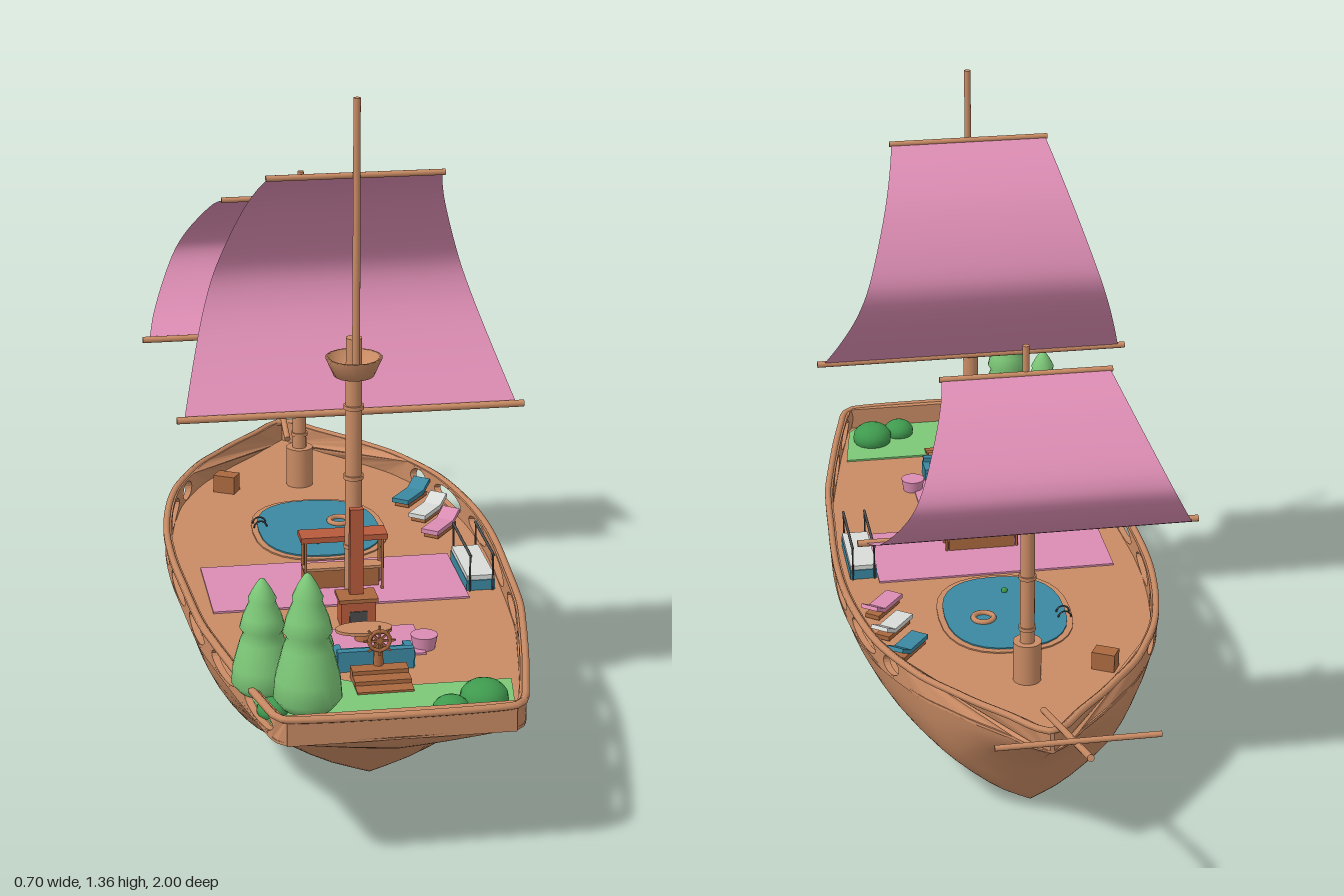
import * as THREE from 'three';

const mat = (name, color, side = THREE.FrontSide) => {
  const m = new THREE.MeshStandardMaterial({ color, side });
  m.name = name;
  return m;
};

export function createModel() {
  const wood = mat('wood', 0xc98b64, THREE.DoubleSide);
  const darkWood = mat('dark wood', 0xa9683f);
  const pink = mat('pink cloth', 0xdb8cb2, THREE.DoubleSide);
  const teal = mat('teal', 0x3b88a0);
  const leaf = mat('leaf green', 0x7cc777);
  const bush = mat('bush green', 0x3f9a4e);
  const white = mat('white', 0xd9dbd8);
  const red = mat('brick red', 0xb85a3c);
  const metal = mat('dark metal', 0x4a4a4a);

  const ship = new THREE.Group();
  ship.name = 'ship';
  const DECK = 0.278, TOP = 0.33, UP = new THREE.Vector3(0, 1, 0);

  const add = (name, geo, m, x = 0, y = 0, z = 0, parent = ship) => {
    const mesh = new THREE.Mesh(geo, m);
    mesh.name = name;
    mesh.position.set(x, y, z);
    parent.add(mesh);
    return mesh;
  };
  const box = (name, m, w, h, d, x, y, z, parent) => add(name, new THREE.BoxGeometry(w, h, d), m, x, y, z, parent);
  const cyl = (name, m, rt, rb, y0, y1, x, z, n = 16) =>
    add(name, new THREE.CylinderGeometry(rt, rb, y1 - y0, n), m, x, (y0 + y1) / 2, z);
  const rod = (name, m, r, a, b) => {
    const p = new THREE.Vector3(...a), q = new THREE.Vector3(...b);
    const mesh = add(name, new THREE.CylinderGeometry(r, r, p.distanceTo(q), 10), m);
    mesh.position.copy(p).lerp(q, 0.5);
    mesh.quaternion.setFromUnitVectors(UP, q.sub(p).normalize());
    return mesh;
  };
  // Thin plate on the deck from [x, z] corners
  const plate = (name, m, pts, y, h = 0.004) => {
    const shape = new THREE.Shape(pts.map(([x, z]) => new THREE.Vector2(x, -z)));
    const geo = new THREE.ExtrudeGeometry(shape, { depth: h, bevelEnabled: false });
    return add(name, geo.rotateX(-Math.PI / 2), m, 0, y, 0);
  };
  const oval = (cx, cz, rx, rz, n = 28, power = 1) => Array.from({ length: n }, (_, i) => {
    const a = i / n * Math.PI * 2, f = (v) => Math.sign(v) * Math.abs(v) ** power;
    return [cx + rx * f(Math.cos(a)), cz + rz * f(Math.sin(a))];
  });

  // Hull stations: half width, keel height, z
  const stations = new THREE.CatmullRomCurve3([
    [0.215, 0.272, 0.985], [0.235, 0.245, 0.965], [0.252, 0.21, 0.9], [0.275, 0.163, 0.8], [0.295, 0.078, 0.7],
    [0.31, 0.022, 0.62], [0.325, 0.003, 0.53], [0.338, 0, 0.35], [0.347, 0, 0.17], [0.34, 0, 0],
    [0.302, 0, -0.2], [0.25, 0, -0.32], [0.222, 0.012, -0.37], [0.175, 0.09, -0.43], [0.135, 0.16, -0.48],
    [0.07, 0.225, -0.55], [0.03, 0.262, -0.6], [0.004, 0.276, -0.617],
  ].map((p) => new THREE.Vector3(...p)), false, 'centripetal').getPoints(102);
  const halfWidth = (z) => {
    for (let i = 1; i < stations.length; i++) {
      const a = stations[i - 1], b = stations[i];
      if (z >= b.z) return THREE.MathUtils.lerp(b.x, a.x, Math.min(1, (z - b.z) / (a.z - b.z)));
    }
    return 0.004;
  };

  // Hull skin: a rounded V section swept along the stations
  const half = new THREE.SplineCurve([[0, 0], [0.3, 0.13], [0.63, 0.36], [0.8, 0.53], [0.93, 0.76], [1, 1]]
    .map((p) => new THREE.Vector2(...p))).getPoints(12);
  const section = [...half.slice(1).reverse().map((p) => [-p.x, p.y]), ...half.map((p) => [p.x, p.y])];
  const pos = [], idx = [], n = section.length;
  const first = stations[0];
  for (let k = 0; k < n; k++) pos.push(0, DECK, first.z + 0.005);
  for (const s of stations) for (const [u, v] of section) pos.push(u * s.x, s.y + v * (DECK - s.y), s.z);
  for (let i = 0; i < stations.length; i++) for (let j = 0; j < n - 1; j++) {
    const a = i * n + j, c = a + n;
    idx.push(a, c, a + 1, a + 1, c, c + 1);
  }
  const hullGeo = new THREE.BufferGeometry();
  hullGeo.setAttribute('position', new THREE.Float32BufferAttribute(pos, 3));
  hullGeo.setIndex(idx);
  hullGeo.computeVertexNormals();
  add('hull', hullGeo, wood);

  const starboard = stations.map((s) => [s.x, s.z]);
  const port = stations.map((s) => [-s.x, s.z]).reverse();
  plate('deck', wood, [...starboard, ...port], DECK - 0.004);

  // Bulwark panels, bent to the deck outline, with oval openings
  const panels = [[0.985, 0.79, 1], [0.79, 0.59, 1], [0.59, 0.4, 1], [0.4, 0.175, 1], [0.175, -0.025, 1],
    [-0.025, -0.225, 1], [-0.225, -0.3, 0.5], [-0.3, -0.617, 0]];
  for (const side of [-1, 1]) for (const [z1, z0, hole] of panels) {
    const pts = [], steps = 12;
    for (let i = 0; i <= steps; i++) pts.push(new THREE.Vector2(z0 + (z1 - z0) * i / steps, DECK - 0.006));
    for (let i = steps; i >= 0; i--) pts.push(new THREE.Vector2(z0 + (z1 - z0) * i / steps, TOP - 0.004));
    const shape = new THREE.Shape(pts);
    if (hole) shape.holes.push(new THREE.Path(
      oval((z0 + z1) / 2, 0.3, (z1 - z0) * 0.37, 0.02, 20).map((p) => new THREE.Vector2(...p))));
    const geo = new THREE.ExtrudeGeometry(shape, { depth: 0.014, bevelEnabled: false });
    const p = geo.attributes.position;
    for (let i = 0; i < p.count; i++) {
      const z = p.getX(i);
      p.setXYZ(i, side * Math.max(0, halfWidth(z) - p.getZ(i)), p.getY(i), z);
    }
    geo.computeVertexNormals();
    add('bulwark', geo, wood);
  }
  box('sternBulwark', wood, 0.43, 0.056, 0.016, 0, 0.3, 0.98);
  const railPath = new THREE.CatmullRomCurve3([...starboard, ...port].filter((_, i) => i % 3 === 0)
    .map(([x, z]) => new THREE.Vector3(x * 0.99, TOP - 0.006, z)), true);
  add('rail', new THREE.TubeGeometry(railPath, 160, 0.008, 6, true), wood);

  // Masts with lookouts, yards and billowing sails
  const mast = (z, r, top, nestY, zUp, tip, profile) => {
    cyl('lowerMast', wood, r * 0.9, r, DECK, top, 0, z);
    for (const f of [0.25, 0.5, 0.75]) cyl('mastBand', wood, r * 1.15, r * 1.15, DECK + (top - DECK) * f, DECK + (top - DECK) * f + 0.008, 0, z);
    cyl('upperMast', wood, 0.007, 0.008, nestY, tip, 0, zUp);
    add('lookout', new THREE.LatheGeometry([[0, 0], [0.04, 0], [0.057, 0.038], [0.05, 0.038], [0.037, 0.008], [0, 0.008]]
      .map((p) => new THREE.Vector2(...p)), 16), wood, 0, nestY, z);
    const curve = new THREE.CatmullRomCurve3(profile.map(([pz, py]) => new THREE.Vector3(0, py, pz)));
    const geo = new THREE.PlaneGeometry(2, 1, 6, 28), p = geo.attributes.position;
    const [zT, yT] = profile[0], [zB, yB] = profile[profile.length - 1];
    for (let i = 0; i < p.count; i++) {
      const c = curve.getPoint(0.5 - p.getY(i));
      const w = THREE.MathUtils.lerp(0.17, 0.335, (yT - c.y) / (yT - yB));
      p.setXYZ(i, p.getX(i) * w, c.y, c.z);
    }
    geo.computeVertexNormals();
    add('sail', geo, pink);
    rod('upperYard', wood, 0.006, [-0.175, yT, zT], [0.175, yT, zT]);
    rod('lowerYard', wood, 0.007, [-0.35, yB, zB], [0.35, yB, zB]);
  };
  mast(0.423, 0.018, 0.868, 0.79, 0.448, 1.355, [[0.437, 1.2], [0.37, 1.16], [0.3, 1.1], [0.235, 1.0],
    [0.218, 0.94], [0.24, 0.875], [0.31, 0.79], [0.4, 0.705]]);
  mast(-0.325, 0.016, 0.75, 0.677, -0.297, 1.02, [[-0.302, 0.96], [-0.37, 0.935], [-0.44, 0.89], [-0.51, 0.825],
    [-0.524, 0.785], [-0.5, 0.735], [-0.43, 0.67], [-0.345, 0.633]]);
  cyl('foreMastDrum', wood, 0.03, 0.03, DECK, 0.368, 0, -0.325);
  rod('bowsprit', wood, 0.007, [0, 0.315, -0.52], [0, 0.492, -0.998]);
  rod('bowspritYard', wood, 0.006, [-0.16, 0.458, -0.88], [0.16, 0.458, -0.88]);

  // Rugs and lawn
  const rect = (x0, x1, z0, z1) => [[x0, z0], [x1, z0], [x1, z1], [x0, z1]];
  plate('midRug', pink, rect(-0.28, 0.25, 0.145, 0.38), DECK);
  plate('loungeRug', pink, rect(-0.11, 0.11, 0.5, 0.64), DECK);
  plate('lawn', leaf, [[-0.265, 0.75], [-0.215, 0.68], [-0.195, 0.715], [-0.165, 0.69], [-0.14, 0.7], [-0.11, 0.69],
    [-0.07, 0.74], [0, 0.78], [0.25, 0.78], [0.225, 0.94], [0.2, 0.97], [-0.2, 0.97], [-0.225, 0.94]], DECK);

  // Pool with ladder, float and ball
  plate('poolRim', wood, oval(0, -0.04, 0.145, 0.175, 28, 0.8), DECK, 0.003);
  plate('poolWater', teal, oval(0, -0.04, 0.132, 0.162, 28, 0.8), DECK + 0.001, 0.005);
  add('poolFloat', new THREE.TorusGeometry(0.022, 0.006, 8, 20).rotateX(Math.PI / 2), wood, 0.05, DECK + 0.009, -0.065);
  add('poolBall', new THREE.SphereGeometry(0.007, 10, 8), bush, -0.015, DECK + 0.009, 0.05);
  for (const z of [-0.085, -0.06])
    add('poolLadder', new THREE.TorusGeometry(0.014, 0.002, 6, 12, Math.PI), metal, -0.125, DECK + 0.005, z);

  // Sun loungers
  [[teal, 0.23, -0.175], [white, 0.25, -0.08], [pink, 0.26, 0.015]].forEach(([m, x, z]) => {
    const lounger = new THREE.Group();
    lounger.name = 'lounger';
    lounger.position.set(x, DECK, z);
    lounger.rotation.y = -0.65;
    ship.add(lounger);
    box('loungerFrame', darkWood, 0.034, 0.01, 0.09, 0, 0.008, 0, lounger);
    box('loungerSeat', m, 0.04, 0.01, 0.075, 0, 0.018, 0.015, lounger);
    box('loungerBack', m, 0.04, 0.009, 0.042, 0, 0.026, -0.038, lounger).rotation.x = 0.5;
  });

  // Canopy day bed
  box('bedBase', teal, 0.06, 0.022, 0.17, 0.282, DECK + 0.011, 0.257);
  box('bedMattress', white, 0.058, 0.01, 0.165, 0.282, DECK + 0.027, 0.257);
  for (const x of [0.258, 0.306]) {
    rod('bedFrame', metal, 0.003, [x, 0.358, 0.165], [x, 0.358, 0.35]);
    for (const z of [0.17, 0.345]) rod('bedPost', metal, 0.002, [x, DECK, z], [x, 0.358, z]);
  }

  // Bar with red roof
  box('barRoof', red, 0.18, 0.012, 0.05, 0, 0.398, 0.29);
  box('barCounter', darkWood, 0.15, 0.045, 0.025, 0, DECK + 0.022, 0.28);
  box('barTop', wood, 0.165, 0.006, 0.035, 0, DECK + 0.047, 0.28);
  for (const x of [-0.08, 0.08]) for (const z of [0.27, 0.31]) rod('barPost', darkWood, 0.003, [x, DECK, z], [x, 0.395, z]);

  // Fireplace and chimney
  box('fireplace', red, 0.07, 0.055, 0.05, 0, DECK + 0.027, 0.467);
  box('fireplaceMantel', darkWood, 0.08, 0.008, 0.058, 0, DECK + 0.058, 0.467);
  box('hearth', metal, 0.036, 0.03, 0.004, 0, DECK + 0.02, 0.492);
  box('chimney', red, 0.028, 0.19, 0.016, 0, 0.427, 0.46);

  // Lounge: table, stools and sofa
  plate('tableTop', wood, oval(0, 0.555, 0.057, 0.03), DECK + 0.022, 0.006);
  cyl('tableLeg', darkWood, 0.012, 0.02, DECK, DECK + 0.022, 0, 0.555);
  for (const x of [-0.112, 0.112]) cyl('stool', pink, 0.027, 0.022, DECK, DECK + 0.028, x, 0.605, 20);
  box('sofaSeat', teal, 0.15, 0.022, 0.05, 0, DECK + 0.011, 0.66);
  box('sofaBack', teal, 0.15, 0.042, 0.016, 0, DECK + 0.021, 0.69);
  for (const x of [-0.07, 0.07]) box('sofaArm', teal, 0.016, 0.032, 0.055, x, DECK + 0.016, 0.665);

  // Helm: steps, post and spoked wheel
  for (let i = 0; i < 3; i++) box('helmStep', darkWood, 0.11, 0.008 * (3 - i), 0.03, 0, DECK + 0.004 * (3 - i), 0.735 + i * 0.03);
  cyl('helmPost', darkWood, 0.008, 0.011, DECK, 0.355, 0, 0.722, 10);
  add('helmWheel', new THREE.TorusGeometry(0.02, 0.004, 8, 20), darkWood, 0, 0.357, 0.735);
  for (let i = 0; i < 4; i++) box('helmSpoke', darkWood, 0.062, 0.004, 0.004, 0, 0.357, 0.735).rotation.z = i * Math.PI / 4;

  // Trees with stacked rounded crowns, and bushes
  const crown = [[0, 0.1], [0.75, 0.1], [1, 0.17], [0.95, 0.3], [0.72, 0.5], [0.6, 0.57], [0.72, 0.61],
    [0.62, 0.7], [0.42, 0.81], [0.45, 0.84], [0.28, 0.92], [0.1, 0.985], [0, 1]];
  for (const [x, z, r, top] of [[-0.235, 0.8, 0.06, 0.53], [-0.163, 0.893, 0.065, 0.575], [-0.135, 0.82, 0.046, 0.47]]) {
    const h = top - DECK;
    cyl('treeTrunk', darkWood, 0.012, 0.014, DECK, DECK + h * 0.2, x, z, 10);
    add('treeCrown', new THREE.LatheGeometry(crown.map(([u, v]) => new THREE.Vector2(u * r, v * h)), 20), leaf, x, DECK, z);
  }
  for (const [x, z, r] of [[0.175, 0.88, 0.047], [0.105, 0.915, 0.036], [-0.225, 0.86, 0.03]])
    add('bush', new THREE.SphereGeometry(r, 16, 10).scale(1, 0.75, 1), bush, x, DECK + r * 0.35, z);

  // Crate near the bow
  box('crate', darkWood, 0.05, 0.04, 0.035, -0.17, DECK + 0.02, -0.305).rotation.y = -0.5;

  return ship;
}
